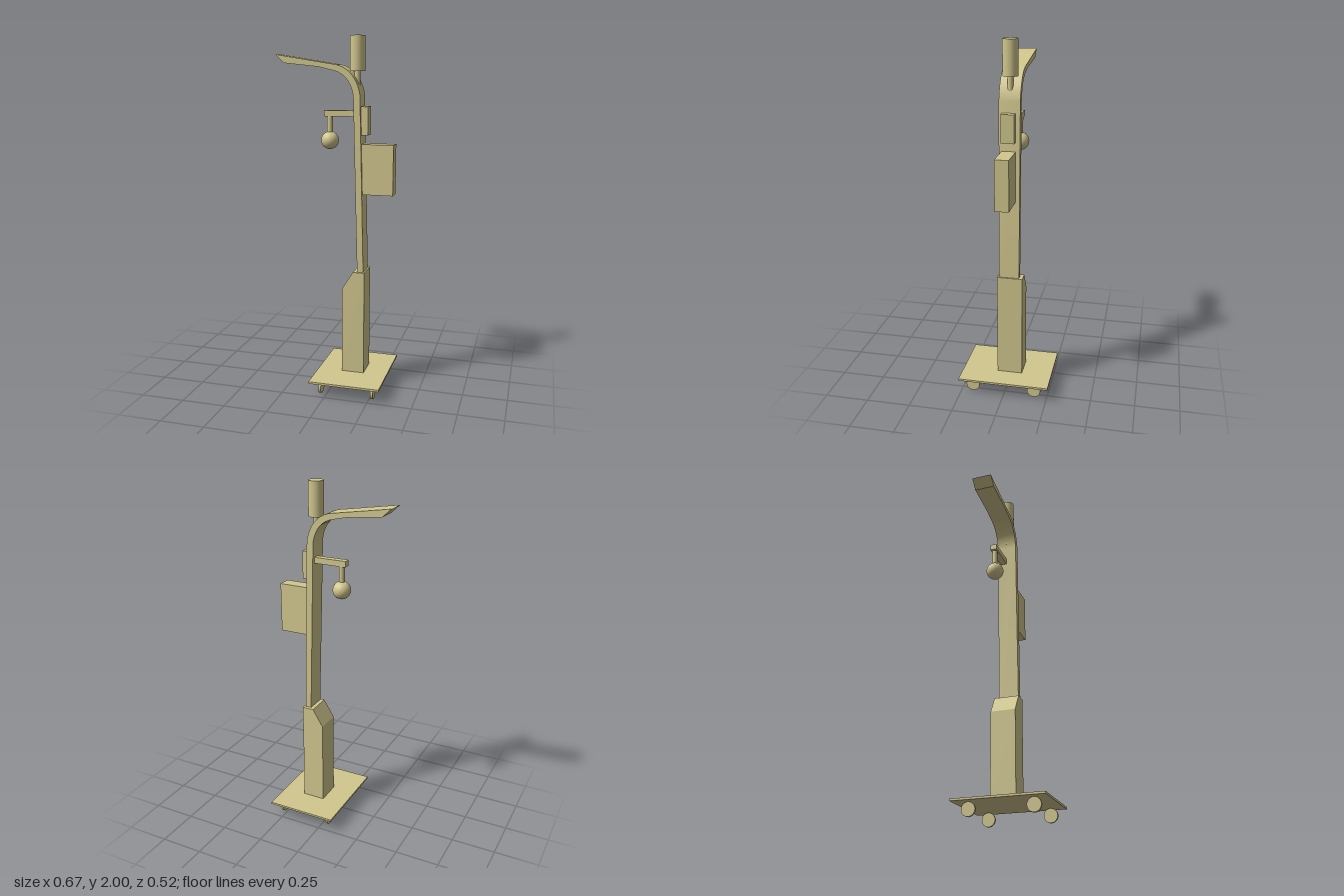
import * as THREE from 'three';
import { toCreasedNormals } from 'three/addons/utils/BufferGeometryUtils.js';

const material = new THREE.MeshStandardMaterial({ color: 0xd2c78e });

export function createModel() {
  const model = new THREE.Group();
  model.name = 'streetLampPost';

  const add = (name, geometry) => {
    const mesh = new THREE.Mesh(geometry, material);
    mesh.name = name;
    model.add(mesh);
    return mesh;
  };
  // Box given by its extents on each axis
  const box = (name, x0, x1, y0, y1, z0, z1) =>
    add(name, new THREE.BoxGeometry(x1 - x0, y1 - y0, z1 - z0))
      .position.set((x0 + x1) / 2, (y0 + y1) / 2, (z0 + z1) / 2);
  // Upright cylinder between two heights
  const post = (name, r, x, z, y0, y1) =>
    add(name, new THREE.CylinderGeometry(r, r, y1 - y0, 32)).position.set(x, (y0 + y1) / 2, z);
  // Side profile extruded along z
  const slab = (name, shape, z0, z1) => {
    const geometry = new THREE.ExtrudeGeometry(shape, { depth: z1 - z0, bevelEnabled: false, curveSegments: 20 });
    add(name, toCreasedNormals(geometry, 0.3)).position.z = z0;
  };

  // Rolling base
  box('basePlate', -0.088, 0.317, 0.078, 0.09, -0.26, 0.26);
  for (const x of [-0.034, 0.268]) {
    for (const z of [-0.174, 0.184]) {
      const wheel = add('wheel', new THREE.CylinderGeometry(0.039, 0.039, 0.014, 32));
      wheel.rotation.z = Math.PI / 2;
      wheel.position.set(x, 0.039, z);
    }
  }

  // Pedestal with one chamfered top edge
  const pedestal = new THREE.Shape([
    [0.053, 0.09], [0.182, 0.09], [0.182, 0.69], [0.115, 0.69], [0.053, 0.59],
  ].map(([x, y]) => new THREE.Vector2(x, y)));
  slab('pedestal', pedestal, -0.087, 0.057);

  // Tapered pole bending over into the lamp head
  const pole = new THREE.Shape();
  pole.moveTo(0.142, 0.55);
  pole.lineTo(0.177, 0.55);
  pole.lineTo(0.148, 1.685);
  pole.bezierCurveTo(0.135, 1.76, 0.09, 1.83, 0.01, 1.845);
  pole.lineTo(-0.335, 1.9);
  pole.lineTo(-0.284, 1.853);
  pole.lineTo(-0.087, 1.833);
  pole.lineTo(0, 1.813);
  pole.bezierCurveTo(0.06, 1.8, 0.105, 1.745, 0.111, 1.67);
  slab('poleAndLampHead', pole, -0.067, 0.048);

  // Canister on top
  post('canisterStem', 0.016, 0.12, -0.009, 1.7, 1.82);
  post('canister', 0.042, 0.12, -0.009, 1.81, 2);

  // Boxes on the side of the pole
  box('smallBox', 0.135, 0.19, 1.465, 1.62, -0.043, 0.03);
  box('cabinet', 0.15, 0.334, 1.135, 1.415, -0.044, 0.033);

  // Side arm with hanging ball
  box('cameraArm', -0.073, 0.125, 1.562, 1.595, -0.049, -0.011);
  post('cameraStem', 0.016, -0.043, -0.03, 1.44, 1.57);
  add('cameraBall', new THREE.SphereGeometry(0.05, 32, 24)).position.set(-0.043, 1.428, -0.03);

  return model;
}
